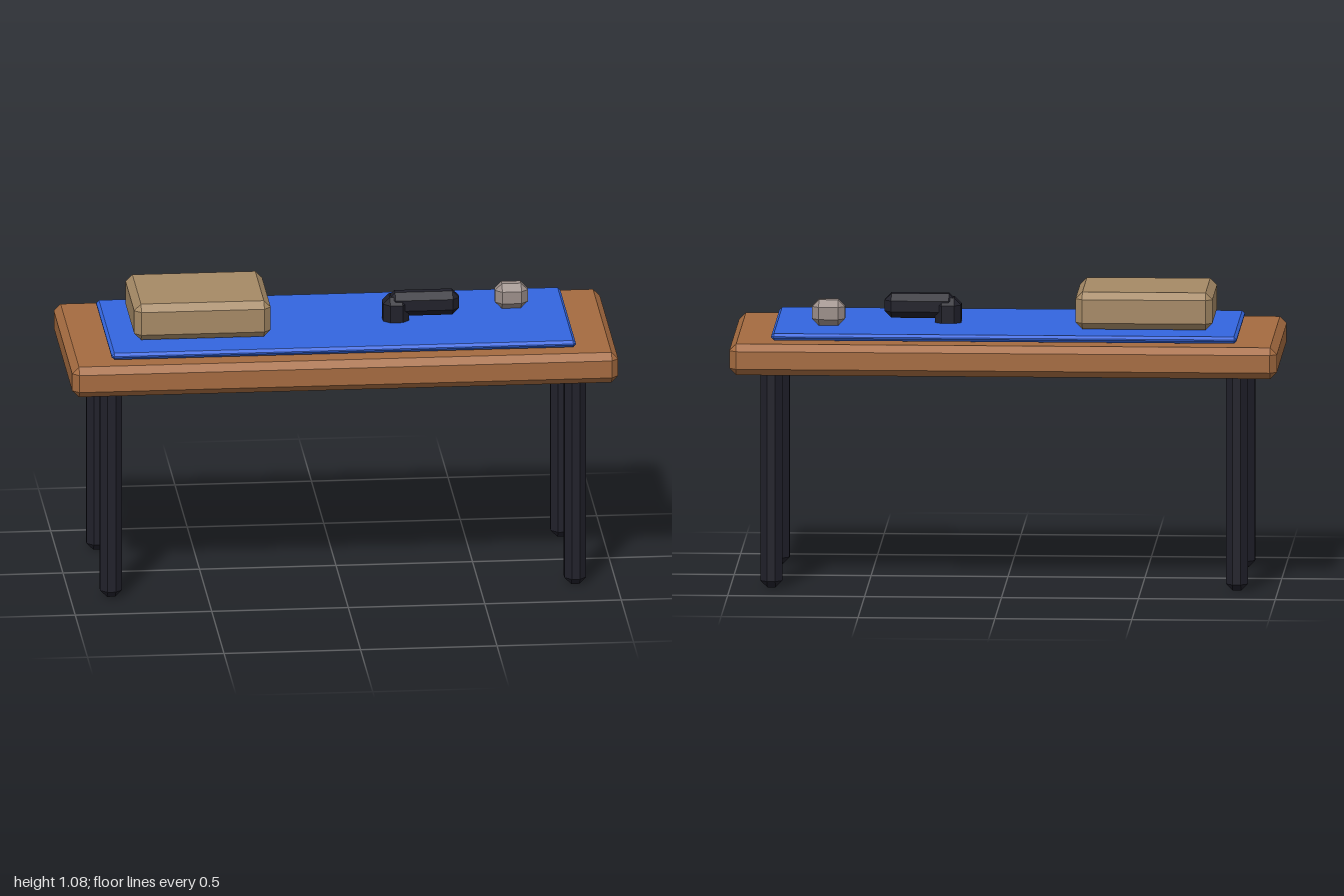
import * as THREE from 'three';
import { ConvexGeometry } from 'three/addons/geometries/ConvexGeometry.js';

const mat = (color) => new THREE.MeshStandardMaterial({ color, flatShading: true });
const wood = mat(0xa56b40);
const blue = mat(0x3366e0);
const black = mat(0x20202a);
const tan = mat(0xa68a66);
const grey = mat(0x9c8f8a);

// Box with every edge cut at 45 degrees, given by its min and max corners
function chamferBox(name, min, max, cut, material) {
  const centre = min.map((v, i) => (v + max[i]) / 2);
  const half = min.map((v, i) => (max[i] - v) / 2);
  const points = [];
  for (const sx of [-1, 1]) for (const sy of [-1, 1]) for (const sz of [-1, 1]) {
    // three points per corner, each lying on one face of the box
    for (let face = 0; face < 3; face++) {
      const [x, y, z] = half.map((h, i) => (i === face ? h : h - cut));
      points.push(new THREE.Vector3(sx * x, sy * y, sz * z));
    }
  }
  const mesh = new THREE.Mesh(new ConvexGeometry(points), material);
  mesh.name = name;
  mesh.position.set(...centre);
  return mesh;
}

export function createModel() {
  const model = new THREE.Group();
  model.name = 'workbench';

  // Table
  model.add(chamferBox('tabletop', [-1, 0.795, -0.4], [1, 0.91, 0.4], 0.025, wood));
  for (const sx of [-1, 1]) for (const sz of [-1, 1]) {
    const x = sx * 0.85, z = sz * 0.28;
    const name = (sz > 0 ? 'front' : 'back') + (sx > 0 ? 'Left' : 'Right') + 'Leg';
    model.add(chamferBox(name, [x - 0.04, 0, z - 0.04], [x + 0.04, 0.825, z + 0.04], 0.025, black));
  }

  // Work mat
  model.add(chamferBox('workMat', [-0.85, 0.915, -0.325], [0.85, 0.94, 0.325], 0.01, blue));

  // Box resting on the mat
  model.add(chamferBox('parcel', [-0.755, 0.943, -0.2], [-0.255, 1.08, 0.2], 0.025, tan));

  // Hand tool: upright grip with a barrel along x
  const tool = new THREE.Group();
  tool.name = 'handTool';
  tool.add(
    chamferBox('toolGrip', [0.17, 0.91, -0.05], [0.265, 1.03, 0.05], 0.025, black),
    chamferBox('toolBarrel', [0.19, 0.955, -0.04], [0.45, 1.045, 0.04], 0.025, black),
  );
  model.add(tool);

  // Small block
  model.add(chamferBox('smallBlock', [0.59, 0.94, -0.14], [0.71, 1.035, -0.06], 0.025, grey));

  return model;
}
